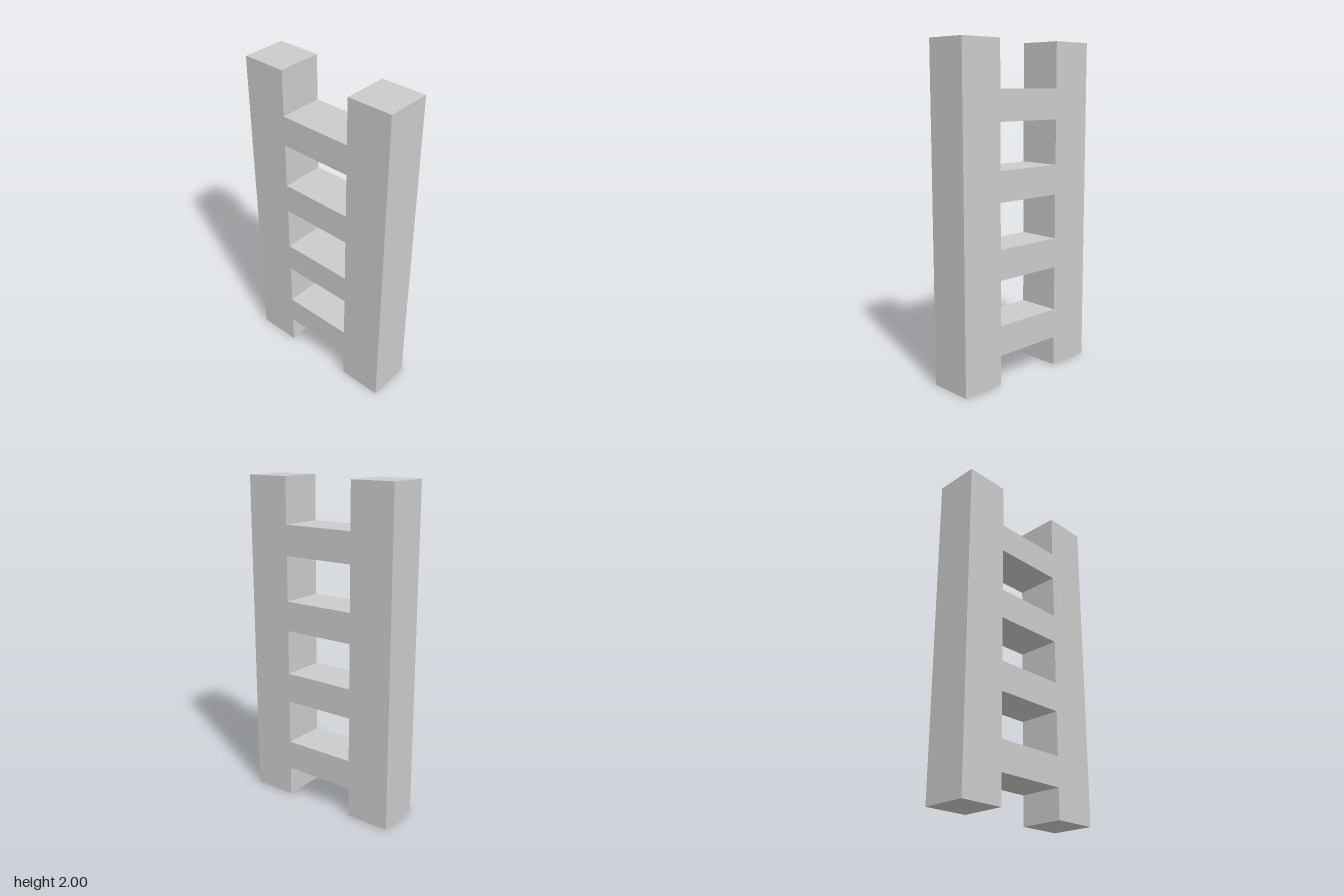
import * as THREE from 'three';

const UNIT = 2 / 11;          // rung height
const HEIGHT = 11 * UNIT;
const OUTER = 2.75 * UNIT;    // half of the overall width
const INNER = 1.25 * UNIT;    // half of the gap between the rails
const DEPTH = 1.5 * UNIT;
const PITCH = 2.5 * UNIT;     // spacing of the rungs
const RUNGS = 4;

const points = (list) => list.map(([x, y]) => new THREE.Vector2(x, y));

export function createModel() {
  const group = new THREE.Group();
  group.name = 'ladder';

  const firstBottom = UNIT;
  const lastTop = firstBottom + (RUNGS - 1) * PITCH + UNIT;

  // Two rails joined by flush rungs: outline notched at foot and head
  const outline = new THREE.Shape(points([
    [-OUTER, 0], [-INNER, 0], [-INNER, firstBottom], [INNER, firstBottom], [INNER, 0], [OUTER, 0],
    [OUTER, HEIGHT], [INNER, HEIGHT], [INNER, lastTop], [-INNER, lastTop], [-INNER, HEIGHT], [-OUTER, HEIGHT],
  ]));

  // Openings between neighbouring rungs
  for (let i = 0; i < RUNGS - 1; i++) {
    const low = firstBottom + UNIT + i * PITCH;
    const high = firstBottom + (i + 1) * PITCH;
    outline.holes.push(new THREE.Path(points([[-INNER, low], [-INNER, high], [INNER, high], [INNER, low]])));
  }

  const geometry = new THREE.ExtrudeGeometry(outline, { depth: DEPTH, bevelEnabled: false });
  geometry.translate(0, 0, -DEPTH / 2);

  const frame = new THREE.Mesh(geometry, new THREE.MeshStandardMaterial({ color: 0xcccccc, flatShading: true }));
  frame.name = 'railsAndRungs';
  group.add(frame);
  return group;
}
